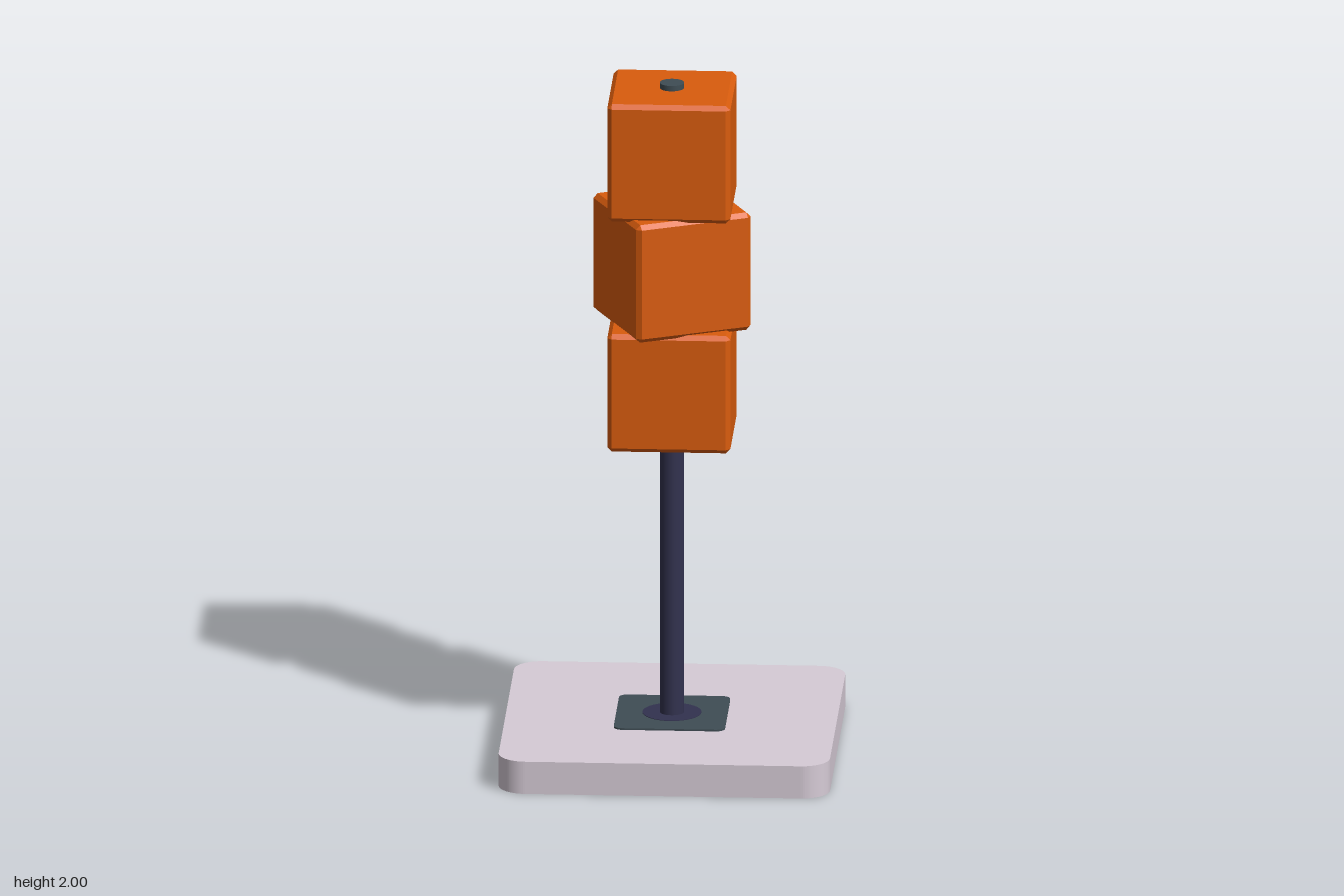
import * as THREE from 'three';
import { ConvexGeometry } from 'three/addons/geometries/ConvexGeometry.js';

// Flat square slab with rounded corners, lying on y = 0
function roundedSlab(size, height, radius) {
  const h = size / 2, c = h - radius;
  const shape = new THREE.Shape();
  shape.moveTo(h, -c);
  shape.absarc(c, c, radius, 0, Math.PI / 2);
  shape.absarc(-c, c, radius, Math.PI / 2, Math.PI);
  shape.absarc(-c, -c, radius, Math.PI, Math.PI * 1.5);
  shape.absarc(c, -c, radius, Math.PI * 1.5, Math.PI * 2);
  const geometry = new THREE.ExtrudeGeometry(shape, { depth: height, bevelEnabled: false, curveSegments: 10 });
  return geometry.rotateX(-Math.PI / 2);
}

// Cube with every edge cut at 45 degrees
function chamferedCube(size, cut) {
  const a = size / 2, b = a - cut, points = [];
  for (const x of [-1, 1]) for (const y of [-1, 1]) for (const z of [-1, 1]) {
    points.push(
      new THREE.Vector3(x * a, y * b, z * b),
      new THREE.Vector3(x * b, y * a, z * b),
      new THREE.Vector3(x * b, y * b, z * a));
  }
  return new ConvexGeometry(points);
}

export function createModel() {
  const material = (name, color) => {
    const m = new THREE.MeshStandardMaterial({ color });
    m.name = name;
    return m;
  };
  const orange = material('orange', 0xd95c0d);
  const stone = material('pale mauve', 0xd6cbd6);
  const navy = material('dark navy', 0x32324f);
  const slate = material('dark slate', 0x3f4d54);

  const model = new THREE.Group();
  model.name = 'stackedCubesOnPole';
  const add = (name, geometry, mat, y) => {
    const mesh = new THREE.Mesh(geometry, mat);
    mesh.name = name;
    mesh.position.y = y;
    model.add(mesh);
    return mesh;
  };

  // Base with its thin mounting plate and collar
  add('base', roundedSlab(0.953, 0.097, 0.08), stone, 0);
  add('mountingPlate', roundedSlab(0.32, 0.006, 0.025), slate, 0.096);
  add('poleCollar', new THREE.CylinderGeometry(0.085, 0.085, 0.003, 32), navy, 0.102);

  // Pole and the cap showing above the top cube
  add('pole', new THREE.CylinderGeometry(0.035, 0.035, 1.87, 24), navy, 1.035);
  add('poleCap', new THREE.CylinderGeometry(0.035, 0.035, 0.03, 24), slate, 1.985);

  // Three cubes, the middle one twisted
  const cube = chamferedCube(0.354, 0.013);
  ['lowerCube', 'middleCube', 'upperCube'].forEach((name, i) => {
    const mesh = add(name, cube, orange, 1.114 + i * 0.3465);
    if (i === 1) mesh.rotation.y = THREE.MathUtils.degToRad(25);
  });

  return model;
}
